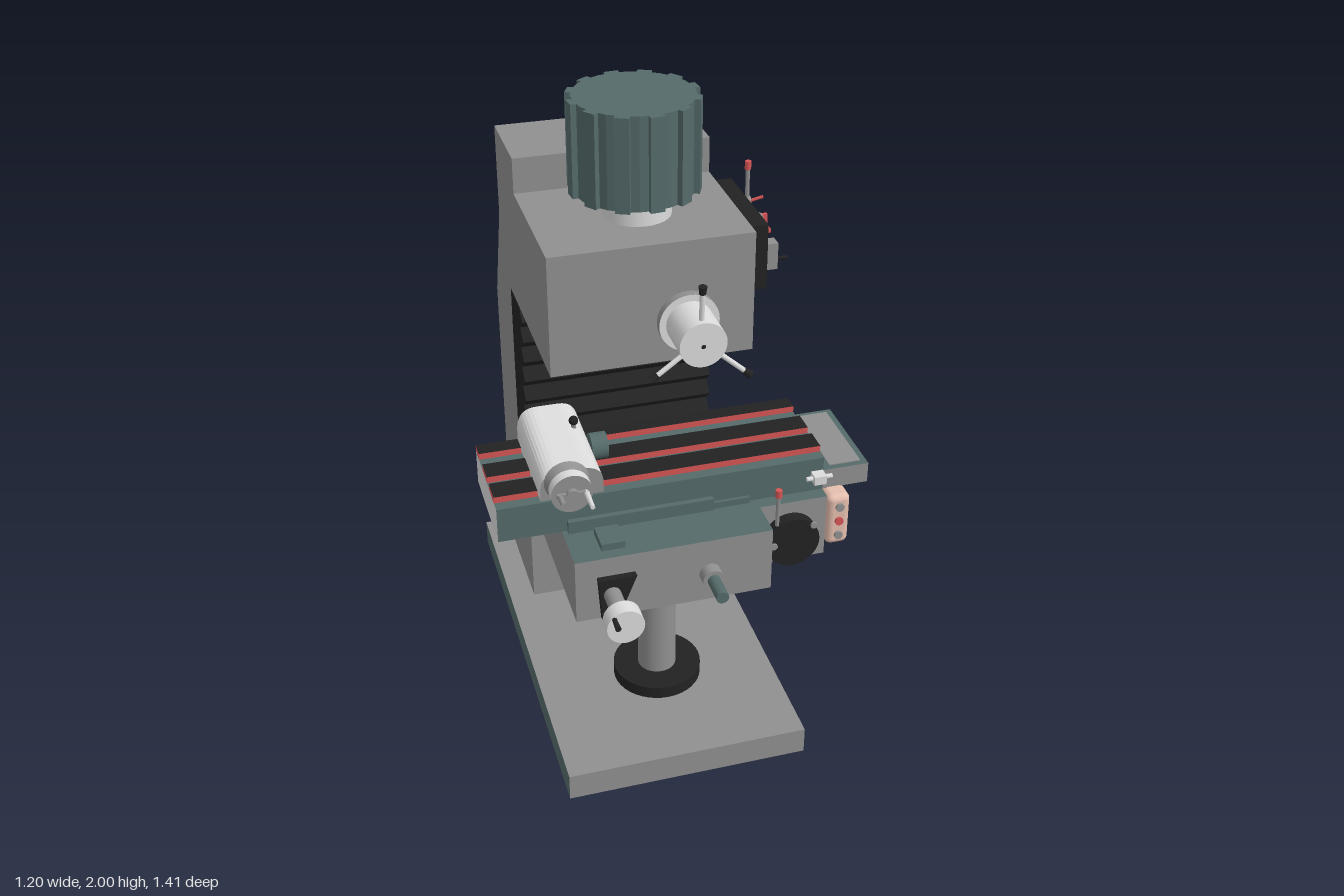
import * as THREE from 'three';
import { RoundedBoxGeometry } from 'three/addons/geometries/RoundedBoxGeometry.js';

const mat = (name, color) => {
  const m = new THREE.MeshStandardMaterial({ color });
  m.name = name;
  return m;
};

export function createModel() {
  const root = new THREE.Group();
  root.name = 'millingMachine';
  const grey = mat('machineGrey', 0x909090);
  const steel = mat('lightSteel', 0xdcdcdc);
  const teal = mat('darkTeal', 0x556a6a);
  const black = mat('black', 0x222222);
  const red = mat('red', 0xd65555);
  const pink = mat('boxPink', 0xe5beae);

  const add = (name, geo, material) => {
    const m = new THREE.Mesh(geo, material);
    m.name = name;
    root.add(m);
    return m;
  };
  const box = (name, m, x0, x1, y0, y1, z0, z1) =>
    add(name, new THREE.BoxGeometry(x1 - x0, y1 - y0, z1 - z0)
      .translate((x0 + x1) / 2, (y0 + y1) / 2, (z0 + z1) / 2), m);
  // Round bar from point a to point b
  const rod = (name, m, r, a, b, r2 = r, sides = 24) => {
    const p = new THREE.Vector3(...a), q = new THREE.Vector3(...b);
    const d = q.clone().sub(p);
    const geo = new THREE.CylinderGeometry(r2, r, d.length(), sides);
    geo.applyQuaternion(new THREE.Quaternion().setFromUnitVectors(
      new THREE.Vector3(0, 1, 0), d.clone().normalize()));
    geo.translate(...p.add(q).multiplyScalar(0.5).toArray());
    return add(name, geo, m);
  };
  const ball = (name, m, r, p) =>
    add(name, new THREE.SphereGeometry(r, 14, 10).translate(...p), m);
  // Side profile of [z, y] points, extruded across x
  const extrudeX = (pts, x0, x1) => {
    const s = new THREE.Shape(pts.map(p => new THREE.Vector2(...p)));
    return new THREE.ExtrudeGeometry(s, { depth: x1 - x0, bevelEnabled: false })
      .rotateY(-Math.PI / 2).translate(x1, 0, 0);
  };
  // Sort triangles into material groups by their normal
  const paint = (geo, rule) => {
    const n = geo.attributes.normal;
    geo.clearGroups();
    for (let i = 0; i < n.count; i += 3) geo.addGroup(i, 3, rule(n.getX(i), n.getY(i), n.getZ(i)));
    return geo;
  };

  // Base: box sides run +x, -x, +y, -y, +z, -z
  box('base', [grey, teal, grey, steel, grey, teal], -0.485, 0.283, 0, 0.09, -0.71, 0.678);

  // Column with paler back faces
  const column = extrudeX([[-0.23, 0.09], [-0.23, 1.75], [-0.51, 1.75],
    [-0.51, 1.45], [-0.64, 1.11], [-0.64, 0.09]], -0.402, 0.223);
  add('column', paint(column, (x, y, z) => (z < -0.5 ? 1 : 0)), [grey, steel]);

  // Head, motor neck and fluted motor cover
  box('head', [grey, grey, grey, steel, grey, steel], -0.402, 0.223, 1.246, 1.635, -0.23, 0.23);
  rod('motorNeck', steel, 0.105, [-0.075, 1.635, 0], [-0.075, 1.71, 0], 0.105, 32);
  const flutes = new THREE.Shape();
  const ribs = 12;
  for (let i = 0; i < ribs; i++) {
    const a = 0.09 + i * Math.PI * 2 / ribs;
    [[-0.12, 0.182], [-0.11, 0.2], [0.11, 0.2], [0.12, 0.182], [0.26, 0.184]].forEach(([da, r], k) => {
      const x = r * Math.cos(a + da), y = r * Math.sin(a + da);
      if (i + k) flutes.lineTo(x, y); else flutes.moveTo(x, y);
    });
  }
  add('motorCover', new THREE.ExtrudeGeometry(flutes, { depth: 0.29, bevelEnabled: false })
    .rotateX(-Math.PI / 2).translate(-0.077, 1.71, -0.017), teal);

  // Quill feed hub with three handles
  const hx = 0.015, hy = 1.38;
  rod('feedFlange', [grey, steel, grey], 0.093, [hx, hy, 0.23], [hx, hy, 0.257], 0.093, 32);
  rod('feedHub', steel, 0.072, [hx, hy, 0.257], [hx, hy, 0.397], 0.072, 32);
  for (const [dx, dy] of [[0, 0.178], [-0.15, -0.1], [0.148, -0.128]]) {
    const at = t => [hx + dx * t, hy + dy * t, 0.368 + 0.012 * t];
    rod('feedHandle', steel, 0.008, at(0.3), at(0.9), 0.008, 10);
    rod('feedGrip', black, 0.01, at(0.88), at(1.02), 0.013, 12);
  }
  ball('feedPin', black, 0.01, [hx, hy - 0.005, 0.39]);

  // Control panel on the head
  box('controlPanel', black, 0.223, 0.285, 1.41, 1.62, -0.195, 0.162);
  rod('speedDial', grey, 0.047, [0.285, 1.5, -0.127], [0.315, 1.5, -0.127]);
  rod('selectorDisc', grey, 0.042, [0.285, 1.565, 0.053], [0.3, 1.565, 0.053]);
  box('selectorBar', red, 0.3, 0.318, 1.559, 1.571, 0.013, 0.093);
  box('selectorBar', red, 0.3, 0.318, 1.525, 1.605, 0.047, 0.059);
  box('switchBox', grey, 0.285, 0.322, 1.465, 1.55, 0.11, 0.152);
  rod('switchPin', black, 0.006, [0.322, 1.49, 0.131], [0.36, 1.49, 0.131], 0.006, 8);
  rod('pushButton', steel, 0.018, [0.285, 1.476, -0.016], [0.298, 1.476, -0.016]);
  rod('pushButtonCap', red, 0.009, [0.298, 1.476, -0.016], [0.305, 1.476, -0.016]);
  rod('panelLeverPivot', grey, 0.014, [0.285, 1.58, -0.105], [0.318, 1.58, -0.105]);
  rod('panelLever', grey, 0.007, [0.308, 1.575, -0.105], [0.308, 1.7, -0.105], 0.007, 8);
  rod('panelLeverTip', red, 0.01, [0.308, 1.685, -0.105], [0.308, 1.712, -0.105], 0.01, 10);
  rod('panelSideLever', red, 0.005, [0.308, 1.58, -0.098], [0.355, 1.595, -0.088], 0.005, 8);

  // Pleated way cover
  const pleats = [[-0.36, 0.738], [-0.23, 0.738]];
  for (let i = 0; i < 7; i++) {
    const y = 0.738 + i * 0.0726;
    pleats.push([-0.187, y + 0.036], [-0.226, y + 0.0726]);
  }
  pleats.push([-0.36, 1.246]);
  add('pleatedCover', extrudeX(pleats, -0.4035, 0.2245), black);

  // Knee and its side housing
  const kneeSides = [grey, grey, teal, steel, grey, steel];
  box('knee', kneeSides, -0.402, 0.223, 0.52, 0.741, -0.23, 0.475);
  box('kneeHousing', kneeSides, 0.223, 0.447, 0.52, 0.741, -0.23, 0.35);
  box('saddle', teal, -0.385, 0.08, 0.741, 0.783, 0, 0.325);
  box('saddleRail', teal, -0.35, 0.2, 0.741, 0.763, 0, 0.318);
  box('saddleClamp', teal, -0.31, -0.235, 0.741, 0.765, 0.345, 0.437);

  // Lifting screw
  rod('screwFoot', black, 0.143, [-0.091, 0.09, 0.27], [-0.091, 0.132, 0.27], 0.143, 40);
  rod('liftScrew', grey, 0.062, [-0.091, 0.132, 0.27], [-0.091, 0.52, 0.27], 0.062, 32);

  // Table, its slotted strips and end tray
  box('table', [teal, steel, teal, steel, teal, steel], -0.6, 0.447, 0.742, 0.86, -0.032, 0.307);
  const strip = [red, red, black, red, red, steel];
  for (const [z0, z1] of [[-0.032, 0.022], [0.082, 0.157], [0.193, 0.27]])
    box('tableStrip', strip, -0.6, 0.447, 0.86, 0.881, z0, z1);
  box('endTray', [grey, grey, teal, steel, grey, steel], 0.447, 0.6, 0.742, 0.812, -0.032, 0.307);
  box('trayFloor', grey, 0.475, 0.58, 0.812, 0.815, -0.015, 0.287);

  // Table stop at the front edge
  box('stopBody', steel, 0.405, 0.445, 0.785, 0.815, 0.307, 0.345);
  rod('stopPin', steel, 0.008, [0.385, 0.8, 0.325], [0.47, 0.8, 0.325], 0.008, 10);

  // Knee crank with bracket
  const bracket = new THREE.Shape([[-0.335, 0.675], [-0.325, 0.525], [-0.275, 0.525], [-0.215, 0.675]]
    .map(p => new THREE.Vector2(...p)));
  add('crankBracket', new THREE.ExtrudeGeometry(bracket, { depth: 0.022, bevelEnabled: false })
    .translate(0, 0, 0.475), black);
  rod('crankShaft', grey, 0.027, [-0.293, 0.62, 0.495], [-0.293, 0.62, 0.605]);
  rod('crankWheel', steel, 0.058, [-0.293, 0.62, 0.605], [-0.293, 0.62, 0.658], 0.058, 32);
  rod('crankHandle', black, 0.007, [-0.328, 0.657, 0.655], [-0.328, 0.657, 0.705], 0.009, 10);

  // Cross feed spindle
  rod('crossFeedCollar', grey, 0.034, [0.022, 0.62, 0.475], [0.022, 0.62, 0.515]);
  rod('crossFeedSpindle', teal, 0.02, [0.022, 0.62, 0.515], [0.022, 0.62, 0.605]);

  // Power feed drum and lever
  rod('feedDrum', black, 0.088, [0.325, 0.612, 0.35], [0.325, 0.612, 0.39], 0.088, 36);
  for (const [x, y] of [[0.26, 0.612], [0.39, 0.67]])
    rod('drumButton', grey, 0.011, [x, y, 0.39], [x, y, 0.398], 0.011, 12);
  rod('feedLever', grey, 0.007, [0.268, 0.69, 0.388], [0.268, 0.81, 0.392], 0.007, 8);
  rod('feedLeverTip', red, 0.011, [0.268, 0.8, 0.392], [0.268, 0.826, 0.392], 0.011, 10);

  // Push button box
  add('buttonBox', new RoundedBoxGeometry(0.077, 0.187, 0.085, 4, 0.022)
    .translate(0.485, 0.651, 0.325), pink);
  [[0.705, grey], [0.652, red], [0.598, grey]].forEach(([y, m]) =>
    rod('boxButton', m, 0.014, [0.485, y, 0.36], [0.485, y, 0.376], 0.014, 16));

  // Dividing head: rounded body rising toward the back, grey front face
  const dx = -0.367;
  const body = new THREE.Shape();
  body.moveTo(dx - 0.098, 0.87);
  body.lineTo(dx + 0.098, 0.87);
  body.lineTo(dx + 0.098, 0.91);
  body.quadraticCurveTo(dx + 0.095, 0.965, dx + 0.035, 0.965);
  body.lineTo(dx - 0.035, 0.965);
  body.quadraticCurveTo(dx - 0.095, 0.965, dx - 0.098, 0.91);
  const bodyGeo = new THREE.ExtrudeGeometry(body, { depth: 0.343, bevelEnabled: false, curveSegments: 8 })
    .translate(0, 0, -0.03);
  const p = bodyGeo.attributes.position;
  for (let i = 0; i < p.count; i++)
    if (p.getZ(i) < 0) p.setY(i, 0.87 + (p.getY(i) - 0.87) * 1.28);
  bodyGeo.computeVertexNormals();
  add('dividingHead', paint(bodyGeo, (x, y, z) => (z > 0.9 ? 1 : 0)), [steel, grey]);
  rod('dividingFace', grey, 0.07, [-0.383, 0.93, 0.313], [-0.383, 0.93, 0.345], 0.05, 32);
  rod('dividingPlate', [steel, grey, steel], 0.064, [-0.383, 0.93, 0.35], [-0.383, 0.93, 0.385], 0.064, 32);
  rod('dividingSpindle', grey, 0.02, [-0.383, 0.93, 0.34], [-0.383, 0.93, 0.4]);
  box('dividingArm', grey, -0.43, -0.335, 0.922, 0.938, 0.385, 0.395);
  rod('dividingPin', grey, 0.008, [-0.42, 0.93, 0.385], [-0.42, 0.93, 0.435], 0.008, 10);
  rod('dividingHandle', steel, 0.009, [-0.34, 0.93, 0.385], [-0.34, 0.93, 0.47], 0.007, 10);
  rod('sideKnob', teal, 0.042, [-0.27, 0.925, 0.14], [-0.218, 0.925, 0.14]);
  rod('topKnobStem', grey, 0.008, [-0.31, 0.95, 0.1], [-0.31, 1.0, 0.1], 0.008, 10);
  ball('topKnob', black, 0.015, [-0.31, 1.003, 0.1]);
  return root;
}
